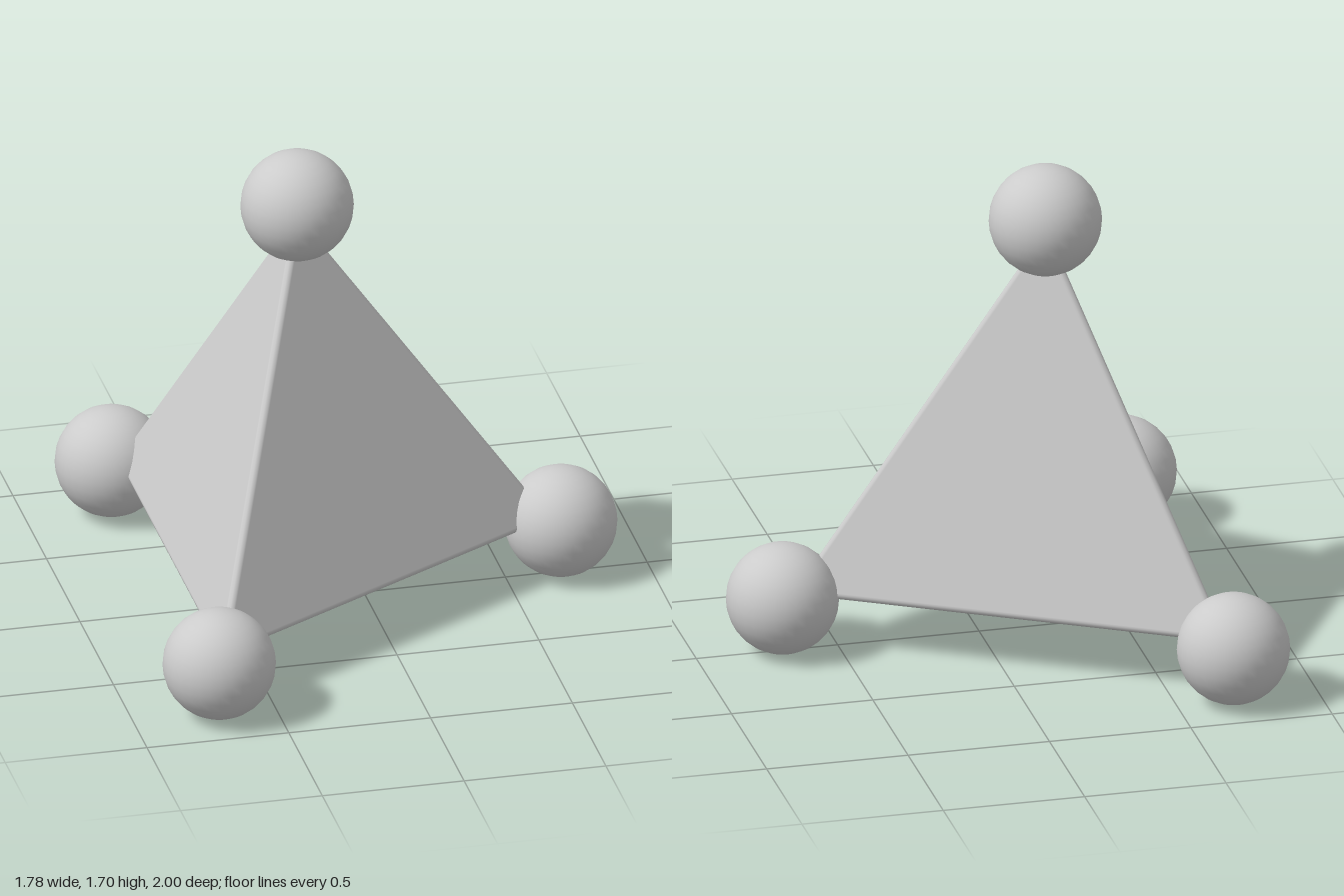
import * as THREE from 'three';
import { ConvexGeometry } from 'three/addons/geometries/ConvexGeometry.js';

const EDGE = 1.61; // distance between ball centres
const BALL = 0.195; // ball radius
const ROUND = 0.02; // edge rounding of the body
const INSET = 0.005; // body faces sit just inside the ball centres

// Regular tetrahedron with one corner pointing to +x and one up
function tetrahedronCorners() {
  const ring = EDGE / Math.sqrt(3);
  const height = EDGE * Math.sqrt(2 / 3);
  const cx = 0.695 - ring;
  const corners = [0, 1, 2].map((i) => {
    const a = (i * Math.PI * 2) / 3;
    return new THREE.Vector3(cx + ring * Math.cos(a), BALL, ring * Math.sin(a));
  });
  corners.push(new THREE.Vector3(cx, BALL + height, 0));
  return corners;
}

// Tetrahedron with rounded edges: hull of a spherical patch at each inner corner
function roundedTetrahedron(corners) {
  const centre = new THREE.Vector3();
  corners.forEach((c) => centre.addScaledVector(c, 0.25));
  const inradius = EDGE / Math.sqrt(24);
  const scale = (inradius - INSET - ROUND) / inradius;
  const cores = corners.map((c) => c.clone().sub(centre).multiplyScalar(scale).add(centre));
  // The face opposite each corner points away from it
  const normals = corners.map((c) => centre.clone().sub(c).normalize());

  const points = [];
  const steps = 4;
  cores.forEach((core, k) => {
    const [a, b, c] = normals.filter((_, i) => i !== k);
    for (let i = 0; i <= steps; i++) {
      for (let j = 0; j <= steps - i; j++) {
        const dir = new THREE.Vector3()
          .addScaledVector(a, i)
          .addScaledVector(b, j)
          .addScaledVector(c, steps - i - j)
          .normalize();
        points.push(core.clone().addScaledVector(dir, ROUND));
      }
    }
  });

  // Smooth normals point straight out from the nearest inner corner
  const geometry = new ConvexGeometry(points);
  const position = geometry.attributes.position;
  const p = new THREE.Vector3();
  for (let i = 0; i < position.count; i++) {
    p.fromBufferAttribute(position, i);
    const core = cores.reduce((m, c) => (c.distanceTo(p) < m.distanceTo(p) ? c : m));
    p.sub(core).normalize();
    geometry.attributes.normal.setXYZ(i, p.x, p.y, p.z);
  }
  return geometry;
}

export function createModel() {
  const model = new THREE.Group();
  model.name = 'tetrahedronWithBalls';
  const material = new THREE.MeshStandardMaterial({ color: 0xcccccc });
  const corners = tetrahedronCorners();

  // Solid body
  const body = new THREE.Mesh(roundedTetrahedron(corners), material);
  body.name = 'body';
  model.add(body);

  // One ball on every corner
  const ballGeometry = new THREE.SphereGeometry(BALL, 32, 16);
  const names = ['leftBall', 'frontRightBall', 'backRightBall', 'topBall'];
  corners.forEach((corner, i) => {
    const ball = new THREE.Mesh(ballGeometry, material);
    ball.name = names[i];
    ball.position.copy(corner);
    model.add(ball);
  });

  return model;
}
